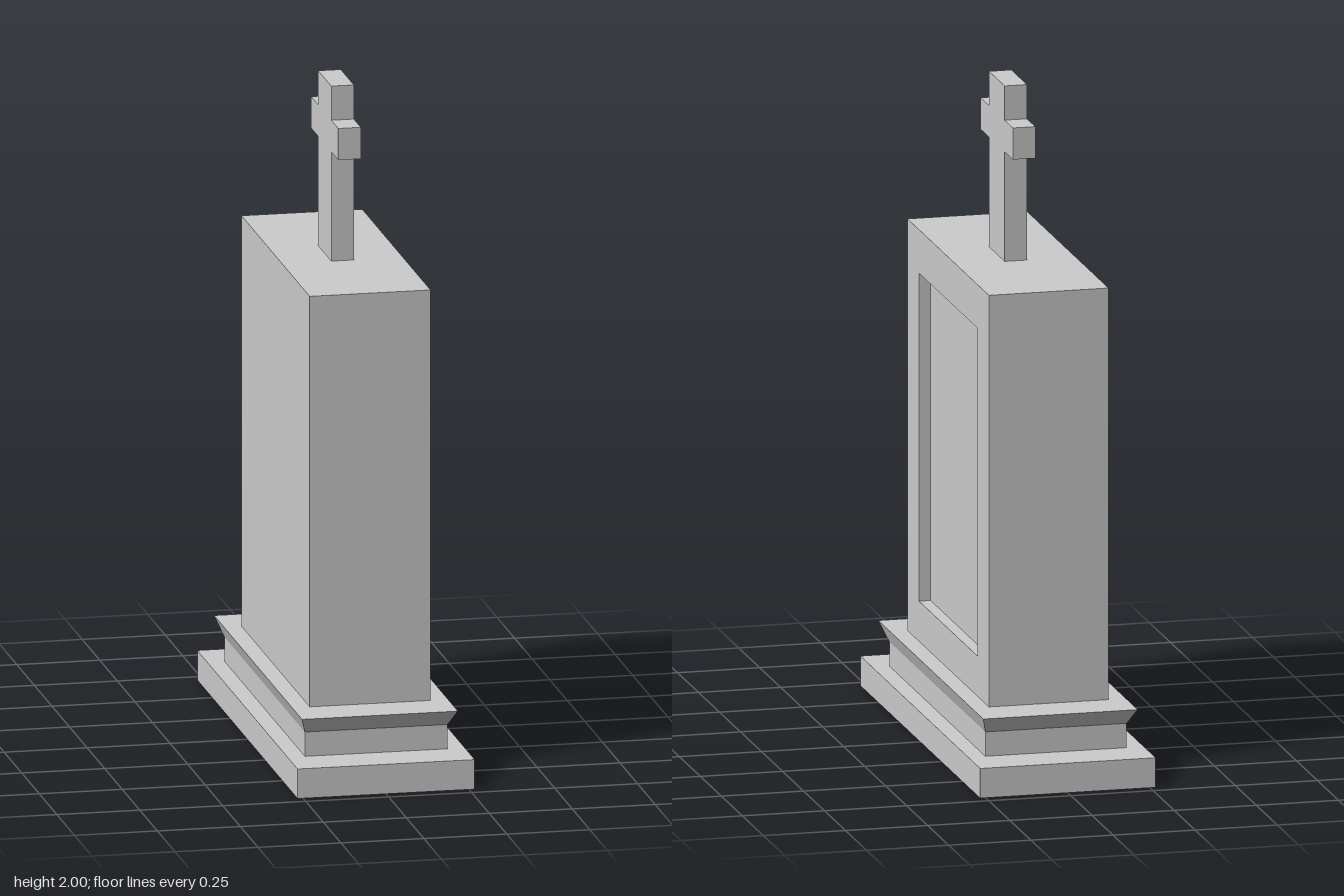
import * as THREE from 'three';

const material = new THREE.MeshStandardMaterial({ color: 0xcccccc, flatShading: true });

function add(parent, name, geometry) {
  const mesh = new THREE.Mesh(geometry, material);
  mesh.name = name;
  parent.add(mesh);
  return mesh;
}

// Box from y0 to y1, spanning x0..x1 and centred on z = 0
function slab(x0, x1, y0, y1, halfZ) {
  return new THREE.BoxGeometry(x1 - x0, y1 - y0, halfZ * 2)
    .translate((x0 + x1) / 2, (y0 + y1) / 2, 0);
}

// Closed outline in the side plane, as [z, y] points
const points = (list) => list.map(([z, y]) => new THREE.Vector2(z, y));
const rectangle = (halfZ, y0, y1) =>
  points([[-halfZ, y0], [halfZ, y0], [halfZ, y1], [-halfZ, y1]]);

// Extrudes a side outline along x, from x0 to x1
function extrudeX(shape, x0, x1) {
  return new THREE.ExtrudeGeometry(shape, { depth: x1 - x0, bevelEnabled: false })
    .rotateY(Math.PI / 2)
    .translate(x0, 0, 0);
}

export function createModel() {
  const model = new THREE.Group();
  model.name = 'graveMonument';

  // Stepped foot
  add(model, 'base', slab(-0.267, 0.267, 0, 0.09, 0.713));
  add(model, 'plinth', slab(-0.215, 0.215, 0.09, 0.164, 0.572));

  // Moulding flaring outward from the plinth
  const moulding = slab(-0.235, 0.235, 0.164, 0.217, 0.625);
  const position = moulding.attributes.position;
  for (let i = 0; i < position.count; i++) {
    if (position.getY(i) < 0.19) {
      position.setX(i, Math.sign(position.getX(i)) * 0.215);
      position.setZ(i, Math.sign(position.getZ(i)) * 0.572);
    }
  }
  moulding.computeVertexNormals();
  add(model, 'moulding', moulding);

  // Upright stone, with a frame around a recessed panel on the +x side
  const stone = new THREE.Group();
  stone.name = 'stone';
  model.add(stone);
  const recessX = 0.147;
  add(stone, 'stoneBody', slab(-0.182, recessX, 0.217, 1.467, 0.485));
  const frame = new THREE.Shape(rectangle(0.485, 0.217, 1.467));
  frame.holes.push(new THREE.Path(rectangle(0.347, 0.339, 1.335).reverse()));
  add(stone, 'panelFrame', extrudeX(frame, recessX, 0.182));

  // Cross on top
  const stem = 0.093, arm = 0.192;
  const half = [[stem, 1.467], [stem, 1.8], [arm, 1.8], [arm, 1.896], [stem, 1.896], [stem, 2]];
  const mirrored = half.map(([z, y]) => [-z, y]).reverse();
  add(model, 'cross', extrudeX(new THREE.Shape(points([...half, ...mirrored])), -0.034, 0.034));

  return model;
}
